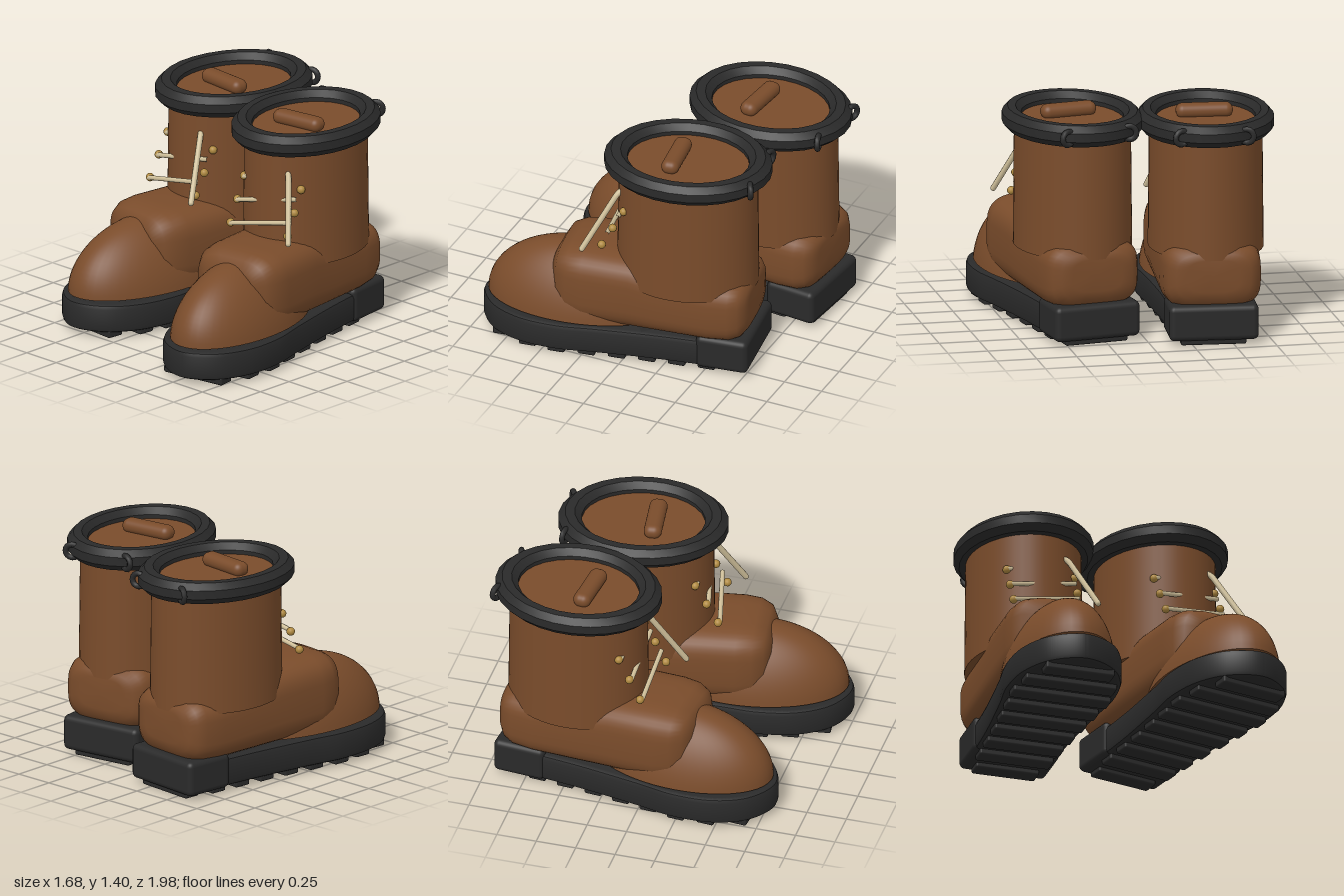
import * as THREE from 'three';
import { toCreasedNormals } from 'three/addons/utils/BufferGeometryUtils.js';
import { RoundedBoxGeometry } from 'three/addons/geometries/RoundedBoxGeometry.js';

const mat = (name, color) => {
  const m = new THREE.MeshStandardMaterial({ color });
  m.name = name;
  return m;
};
const leather = mat('brown leather', 0x7a4c2b);
const rubber = mat('black rubber', 0x2a2a2a);
const cord = mat('cream cord', 0xd0c09a);
const brass = mat('brass', 0xb08a40);

const STRETCH = 1.25; // the shaft and collar are ovals, longer front to back

// Closed solid through rounded sections: [z, halfWidth, bottom, top]
function loft(sections, sides = 40, power = 3.5) {
  const pos = [], index = [];
  const bend = (v) => Math.sign(v) * Math.abs(v) ** (2 / power);
  for (const [z, hw, bottom, top] of sections) {
    for (let j = 0; j < sides; j++) {
      const a = (j / sides) * Math.PI * 2;
      pos.push(hw * bend(Math.cos(a)), (top + bottom) / 2 + ((top - bottom) / 2) * bend(Math.sin(a)), z);
    }
  }
  const last = sections.length - 1;
  for (let i = 0; i < last; i++) {
    for (let j = 0; j < sides; j++) {
      const a = i * sides + j, b = i * sides + ((j + 1) % sides);
      index.push(a, b, a + sides, b, b + sides, a + sides);
    }
  }
  for (const i of [0, last]) {
    const [z, , bottom, top] = sections[i];
    const centre = pos.length / 3;
    pos.push(0, (top + bottom) / 2, z);
    for (let j = 0; j < sides; j++) {
      const a = i * sides + j, b = i * sides + ((j + 1) % sides);
      if (i) index.push(centre, a, b);
      else index.push(centre, b, a);
    }
  }
  const geo = new THREE.BufferGeometry();
  geo.setAttribute('position', new THREE.Float32BufferAttribute(pos, 3));
  geo.setIndex(index);
  geo.computeVertexNormals();
  return geo;
}

// Sole outline, right half: [halfWidth, z]
const outline = [[0.2, -0.42], [0.255, -0.3], [0.265, -0.1], [0.28, 0.15], [0.315, 0.5],
  [0.345, 0.75], [0.315, 1.0], [0.2, 1.2]];

function soleWidthAt(z) {
  for (let i = 1; i < outline.length; i++) {
    const [w0, z0] = outline[i - 1], [w1, z1] = outline[i];
    if (z <= z1) return w0 + ((w1 - w0) * (z - z0)) / (z1 - z0);
  }
  return 0.15;
}

function soleGeometry() {
  const side = outline.map(([x, z]) => new THREE.Vector2(x, z));
  const mirrored = side.map((p) => new THREE.Vector2(-p.x, p.y)).reverse();
  const shape = new THREE.Shape();
  shape.moveTo(side[0].x, side[0].y);
  shape.splineThru([...side.slice(1), new THREE.Vector2(0, 1.295), ...mirrored]);
  shape.closePath();
  const geo = new THREE.ExtrudeGeometry(shape, {
    depth: 0.12, bevelSize: 0.025, bevelOffset: -0.025, bevelThickness: 0.03, bevelSegments: 2, curveSegments: 40,
  });
  geo.rotateX(Math.PI / 2).translate(0, 0.185, 0);
  return toCreasedNormals(geo, 0.5);
}

// Half dome, narrowing a little more towards its crown
function toeGeometry() {
  const geo = new THREE.SphereGeometry(1, 48, 20, 0, Math.PI * 2, 0, Math.PI / 2);
  const p = geo.attributes.position;
  for (let i = 0; i < p.count; i++) {
    const y = p.getY(i);
    p.setXYZ(i, p.getX(i) * 0.32 * (1 - 0.16 * y), y * 0.41, p.getZ(i) * 0.575);
  }
  return toCreasedNormals(geo, 1.2);
}

function collarGeometry() {
  const section = [];
  for (let i = 0; i <= 8; i++) {
    const a = ((i + 0.5) / 8) * Math.PI * 2;
    section.push(new THREE.Vector2(0.36 + 0.062 * Math.cos(a), 1.318 + 0.072 * Math.sin(a)));
  }
  return toCreasedNormals(new THREE.LatheGeometry(section, 28), 0.5);
}

function createBoot(name) {
  const boot = new THREE.Group();
  boot.name = name;
  const add = (part, geo, material, x = 0, y = 0, z = 0) => {
    const mesh = new THREE.Mesh(geo, material);
    mesh.name = part;
    mesh.position.set(x, y, z);
    boot.add(mesh);
    return mesh;
  };

  // Sole, heel and tread bars
  add('sole', soleGeometry(), rubber);
  add('heel', new RoundedBoxGeometry(0.55, 0.22, 0.33, 3, 0.035), rubber, 0, 0.14, -0.29);
  for (let i = 0; i < 9; i++) {
    const z = -0.37 + i * 0.187;
    add('treadBar', new RoundedBoxGeometry(soleWidthAt(z) * 1.8, 0.05, 0.11, 2, 0.012), rubber, 0, 0.025, z);
  }

  // Foot, from the squared heel to the rounded instep
  add('foot', loft([
    [-0.435, 0.16, 0.33, 0.53], [-0.425, 0.23, 0.28, 0.57], [-0.39, 0.275, 0.235, 0.605],
    [-0.33, 0.3, 0.21, 0.625], [-0.2, 0.31, 0.2, 0.63], [0.1, 0.31, 0.2, 0.66],
    [0.3, 0.31, 0.2, 0.695], [0.6, 0.31, 0.2, 0.7], [0.7, 0.295, 0.22, 0.692],
    [0.77, 0.255, 0.26, 0.665], [0.81, 0.18, 0.32, 0.6],
  ]), leather);

  // Toe cap with its flat underside
  add('toeCap', toeGeometry(), leather, 0, 0.23, 0.69);
  const under = add('toeUnderside', new THREE.CircleGeometry(1, 48), leather, 0, 0.23, 0.69);
  under.rotation.x = Math.PI / 2;
  under.scale.set(0.32, 0.575, 1);

  // Shaft, collar and the closed top with its tab
  add('shaft', new THREE.CylinderGeometry(0.345, 0.352, 0.78, 48), leather, 0, 0.92, 0).scale.z = STRETCH;
  add('collar', collarGeometry(), rubber).scale.z = STRETCH;
  add('topPanel', new THREE.CylinderGeometry(0.33, 0.33, 0.03, 40), leather, 0, 1.305, 0).scale.z = STRETCH;
  add('tongueTab', new RoundedBoxGeometry(0.35, 0.09, 0.11, 5, 0.044), leather, 0, 1.352, 0.075);

  // Small loops on the back of the collar
  for (const s of [-1, 1]) {
    const loop = add('pullLoop', new THREE.TorusGeometry(0.042, 0.018, 8, 16), rubber, s * 0.2, 1.315, -0.455);
    loop.rotation.y = s * 0.35;
  }

  // Eyelets and the laces rising from left to right
  for (let row = 0; row < 3; row++) {
    const y = 0.765 + row * 0.131, z = 0.487 - row * 0.07;
    for (const s of [-1, 1]) add('eyelet', new THREE.SphereGeometry(0.026, 14, 10), brass, s * 0.214, y, z);
    const path = new THREE.LineCurve3(new THREE.Vector3(-0.214, y, z + 0.012), new THREE.Vector3(0.214, y + 0.078, z - 0.03));
    add('lace', new THREE.TubeGeometry(path, 1, 0.015, 8), cord);
  }

  // Loose lace end hanging forward
  const loose = new THREE.CurvePath();
  const points = [[0.11, 1.14, 0.35], [0.145, 1.14, 0.385], [0.165, 1.1, 0.41], [0.293, 0.762, 0.59]]
    .map((p) => new THREE.Vector3(...p));
  loose.add(new THREE.QuadraticBezierCurve3(points[0], points[1], points[2]));
  loose.add(new THREE.LineCurve3(points[2], points[3]));
  add('looseLace', new THREE.TubeGeometry(loose, 24, 0.018, 8), cord);
  add('laceTip', new THREE.SphereGeometry(0.018, 8, 6), cord, 0.293, 0.762, 0.59);
  return boot;
}

export function createModel() {
  const model = new THREE.Group();
  model.name = 'pairOfBoots';
  const rightBoot = createBoot('rightBoot');
  rightBoot.position.set(-0.418, 0, -0.472);
  rightBoot.rotation.y = -0.095;
  const leftBoot = createBoot('leftBoot');
  leftBoot.position.set(0.373, 0, -0.291);
  leftBoot.rotation.y = 0.147;
  model.add(rightBoot, leftBoot);
  return model;
}
